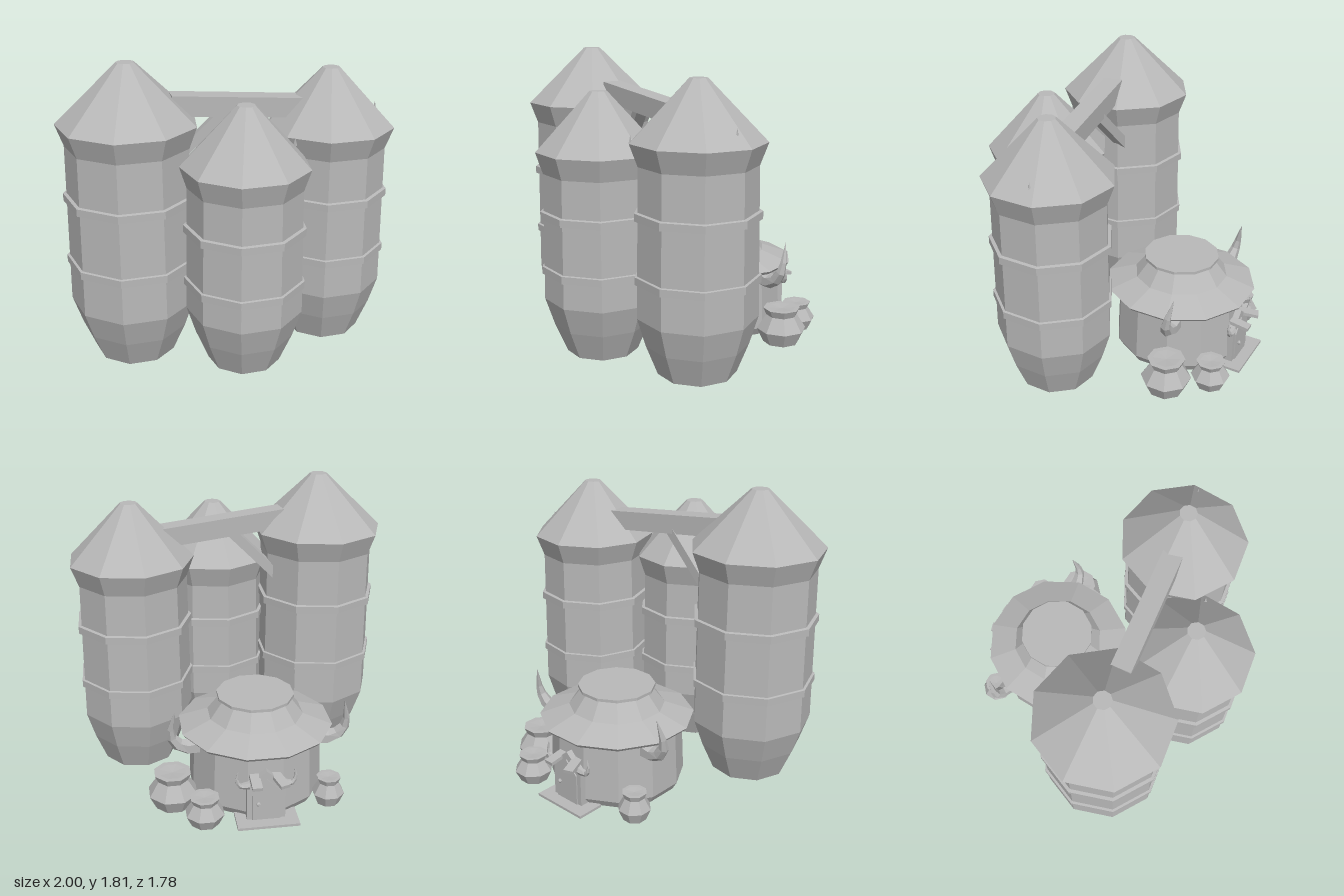
import * as THREE from 'three';

const grey = new THREE.MeshStandardMaterial({ color: 0xb8b8b8, flatShading: true });
const V = (x, y, z) => new THREE.Vector3(x, y, z);

function add(parent, name, geometry, x = 0, y = 0, z = 0) {
  const mesh = new THREE.Mesh(geometry, grey);
  mesh.name = name;
  mesh.position.set(x, y, z);
  parent.add(mesh);
  return mesh;
}

// Faceted solid of revolution from [radius, height] pairs, bottom to top
function lathe(profile, sides, start) {
  return new THREE.LatheGeometry(profile.map(([r, y]) => new THREE.Vector2(r, y)), sides, start);
}

// Rectangular timber spanning two points
function beam(parent, name, a, b, height, width) {
  const mesh = add(parent, name, new THREE.BoxGeometry(width, height, a.distanceTo(b)));
  mesh.position.copy(a).lerp(b, 0.5);
  mesh.lookAt(b);
  return mesh;
}

// Curved horn: a tube that narrows to a point
function horn(parent, name, points, radius) {
  const rings = 6, sides = 6;
  const curve = new THREE.CatmullRomCurve3(points);
  const geo = new THREE.TubeGeometry(curve, rings, radius, sides);
  const pos = geo.attributes.position, p = V(0, 0, 0);
  for (let i = 0; i < pos.count; i++) {
    const t = Math.floor(i / (sides + 1)) / rings;
    p.fromBufferAttribute(pos, i).lerp(curve.getPointAt(t), t * 0.98);
    pos.setXYZ(i, p.x, p.y, p.z);
  }
  add(parent, name, geo);
}

// Nine-sided silo with tapered foot, flared eave, cone roof and two bands
function silo(parent, name, s) {
  const g = new THREE.Group();
  g.name = name;
  g.position.set(s.x, 0, s.z);
  parent.add(g);
  const start = -Math.PI / 2;
  add(g, 'siloBody', lathe([
    [0, 0], [s.foot, 0], [(s.foot + s.wall) / 2 + 0.01, 0.18], [s.wall, 0.35],
    [s.wall - 0.012, s.eave - 0.13], [s.roof, s.eave], [0.053, s.eave + 0.35], [0, s.eave + 0.35],
  ], 9, start));
  for (const y of s.bands) {
    const r = s.wall + 0.012;
    add(g, 'siloBand', lathe([
      [s.wall - 0.03, y - 0.025], [r, y - 0.025], [r, y + 0.02], [s.wall - 0.03, y + 0.028],
    ], 9, start));
  }
}

function urn(parent, name, x, z, r, h) {
  add(parent, name, lathe([
    [0, 0], [r * 0.72, 0], [r, h * 0.4], [r * 0.62, h * 0.8],
    [r * 0.75, h], [r * 0.55, h], [0, h * 0.97],
  ], 8, Math.PI / 8), x, 0, z);
}

export function createModel() {
  const model = new THREE.Group();
  model.name = 'siloFarm';

  // Three silos
  silo(model, 'tallSilo', { x: -0.585, z: 0.31, foot: 0.245, wall: 0.38, roof: 0.415, eave: 1.46, bands: [1.017, 0.62] });
  silo(model, 'middleSilo', { x: 0.63, z: 0.13, foot: 0.235, wall: 0.356, roof: 0.392, eave: 1.36, bands: [0.95, 0.58] });
  silo(model, 'shortSilo', { x: 0.075, z: 0.51, foot: 0.22, wall: 0.35, roof: 0.38, eave: 1.25, bands: [0.873, 0.535] });

  // Connecting chute and its brace
  beam(model, 'chute', V(-0.34, 1.55, 0.27), V(0.445, 1.485, 0.152), 0.12, 0.122);
  beam(model, 'chuteBrace', V(-0.29, 1.2, 0.18), V(0, 1.49, 0.2), 0.06, 0.07);

  // Small roof spikes
  add(model, 'roofSpike', new THREE.ConeGeometry(0.012, 0.06, 4), 0.93, 1.44, 0.05);
  add(model, 'roofSpike', new THREE.ConeGeometry(0.012, 0.05, 4), 0.37, 1.35, 0.43);

  // Hut behind the silos
  const hut = new THREE.Group();
  hut.name = 'hut';
  hut.position.set(-0.07, 0, -0.38);
  model.add(hut);
  const start = Math.PI / 12;
  add(hut, 'hutWall', lathe([[0, 0], [0.385, 0], [0.415, 0.05], [0.4, 0.43]], 12, start));
  add(hut, 'hutRoof', lathe([
    [0.38, 0.42], [0.46, 0.425], [0.476, 0.445], [0.295, 0.51], [0.215, 0.615],
    [0.238, 0.62], [0.238, 0.638], [0, 0.638],
  ], 12, start));

  // Doorway with a gable, facing the back
  const gable = (w, side, peak) => new THREE.Shape([
    new THREE.Vector2(-w, 0), new THREE.Vector2(w, 0), new THREE.Vector2(w, side),
    new THREE.Vector2(0, peak), new THREE.Vector2(-w, side),
  ]);
  add(hut, 'doorFrame', new THREE.ExtrudeGeometry(gable(0.115, 0.24, 0.34), { depth: 0.06, bevelEnabled: false }), 0, 0, -0.43);
  add(hut, 'door', new THREE.ExtrudeGeometry(gable(0.085, 0.2, 0.28), { depth: 0.02, bevelEnabled: false }), 0, 0.01, -0.438);
  add(hut, 'doorKnob', new THREE.IcosahedronGeometry(0.014), 0.05, 0.13, -0.447);
  add(hut, 'doorStep', new THREE.BoxGeometry(0.37, 0.016, 0.17), -0.005, 0.008, -0.425);

  for (const s of [-1, 1]) {
    beam(hut, 'gableBoard', V(s * 0.135, 0.23, -0.425), V(0, 0.35, -0.425), 0.022, 0.06);
    horn(hut, 'doorHorn', [
      V(s * 0.1, 0.25, -0.42), V(s * 0.155, 0.25, -0.42), V(s * 0.175, 0.29, -0.42), V(s * 0.165, 0.35, -0.42),
    ], 0.025);
    horn(hut, 'hutHorn', [
      V(s * 0.37, 0.38, -0.13), V(s * 0.46, 0.38, -0.145), V(s * 0.53, 0.46, -0.16), V(s * 0.51, 0.64, -0.2),
    ], 0.06);
  }

  // Urns around the hut
  urn(model, 'largeUrn', 0.46, -0.55, 0.155, 0.225);
  urn(model, 'backUrn', 0.29, -0.77, 0.12, 0.175);
  urn(model, 'sideUrn', -0.48, -0.66, 0.1, 0.175);

  return model;
}
